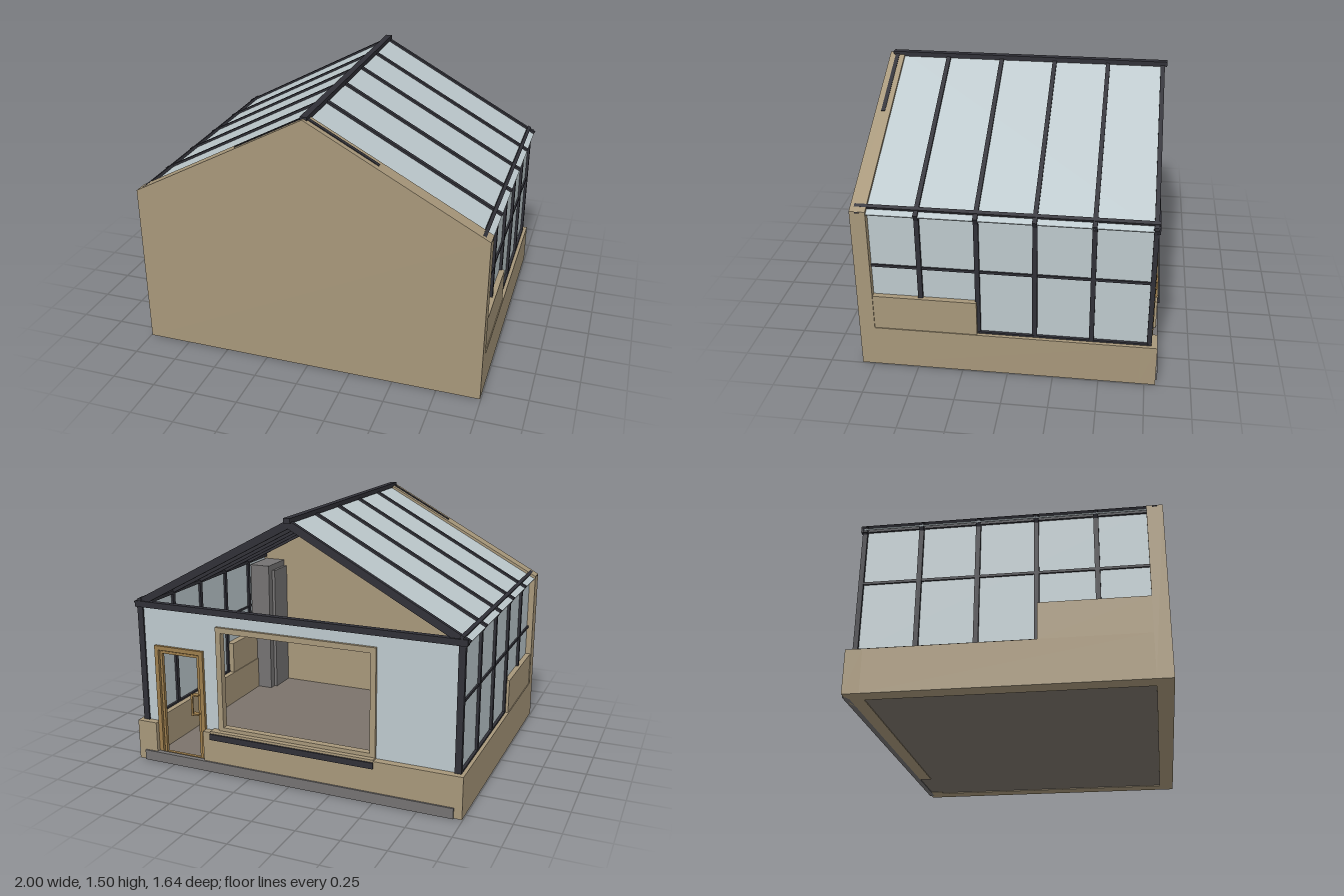
import * as THREE from 'three';

const mat = (name, color, side = THREE.FrontSide) => {
  const m = new THREE.MeshStandardMaterial({ color, side });
  m.name = name;
  return m;
};

export function createModel() {
  const root = new THREE.Group();
  root.name = 'greenhouse';
  const stone = mat('sandstone', 0xa7977a);
  const glass = mat('paleGlass', 0xbdc9cd);
  const iron = mat('darkFrame', 0x303037);
  const wood = mat('wood', 0x9c7d4c);
  const paving = mat('paving', 0x7b736b);
  const grey = mat('greyStone', 0x747272);

  // box given by its min and max corners
  const box = (name, m, x0, x1, y0, y1, z0, z1, parent = root) => {
    const g = new THREE.BoxGeometry(Math.abs(x1 - x0), y1 - y0, z1 - z0);
    const mesh = new THREE.Mesh(g, m);
    mesh.name = name;
    mesh.position.set((x0 + x1) / 2, (y0 + y1) / 2, (z0 + z1) / 2);
    parent.add(mesh);
    return mesh;
  };

  // solid gable wall at the front
  const gable = new THREE.Shape();
  [[-0.995, 0], [0.995, 0], [0.995, 0.962], [0, 1.497], [-0.995, 0.962]]
    .forEach(([x, y], i) => (i ? gable.lineTo(x, y) : gable.moveTo(x, y)));
  const front = new THREE.Mesh(
    new THREE.ExtrudeGeometry(gable, { depth: 0.085, bevelEnabled: false }), stone);
  front.name = 'frontGableWall';
  front.position.z = 0.735;
  root.add(front);

  // floor, doorstep strip and corner pillar
  box('floor', paving, -0.92, 0.92, 0.005, 0.03, -0.8, 0.735);
  box('backStep', grey, -0.95, 0.95, 0, 0.06, -0.82, -0.79);
  box('cornerPillar', grey, 0.8, 0.94, 0.03, 0.92, 0.5, 0.735);
  box('cornerPillarBase', grey, 0.78, 0.94, 0.03, 0.88, 0.55, 0.735);

  // roof slope: local x runs from ridge to eave, local y is the outward normal
  const angle = Math.atan(0.54);
  const len = 1 / Math.cos(angle);
  const frames = [-0.765, -0.455, -0.148, 0.16, 0.472];

  for (const s of [-1, 1]) {
    const side = new THREE.Group();
    side.name = s > 0 ? 'leftSide' : 'rightSide';
    root.add(side);
    const sbox = (name, m, x0, x1, ...r) => box(name, m, s * x0, s * x1, ...r, side);

    // low masonry wall with the taller stretch next to the gable
    sbox('sideBase', stone, 0.9, 0.995, 0, 0.24, -0.72, 0.735);
    sbox('raisedBase', stone, 0.905, 0.99, 0.24, 0.443, 0.165, 0.735);
    sbox('wallCap', iron, 0.935, 0.975, 0.24, 0.25, -0.77, 0.165);

    // glazing, posts and rails
    sbox('sideGlass', glass, 0.951, 0.959, 0.24, 0.955, -0.765, 0.735);
    frames.forEach((z) =>
      sbox('sidePost', iron, 0.938, 0.974, 0.24, 0.96, z - 0.013, z + 0.013));
    sbox('sideRail', iron, 0.943, 0.969, 0.619, 0.633, -0.765, 0.735);
    sbox('eaveBeam', iron, 0.935, 0.972, 0.935, 0.955, -0.78, 0.735);

    // roof slope
    const slope = new THREE.Group();
    slope.name = 'roofSlope';
    slope.position.set(0, 1.493, 0);
    slope.rotation.z = -s * angle;
    side.add(slope);
    const rbox = (name, m, x0, x1, ...r) => box(name, m, s * x0, s * x1, ...r, slope);
    rbox('roofGlass', glass, 0, len - 0.005, -0.018, -0.01, -0.765, 0.735);
    frames.forEach((z) => {
      rbox('rafter', iron, 0, len - 0.005, -0.04, 0.002, z - 0.012, z + 0.012);
    });
    rbox('eaveRail', iron, 1.075, 1.095, -0.012, 0.006, -0.785, 0.8);
    rbox('gableFlashing', iron, 0, 0.45, -0.01, 0.008, 0.765, 0.787);
    rbox('gableEaveTrim', iron, len - 0.02, len - 0.004, -0.02, 0.004, 0.765, 0.79);
  }

  // ridge beam
  box('ridgeBeam', iron, -0.019, 0.019, 1.478, 1.505, -0.79, 0.8);

  // back masonry with the door opening
  box('backBase', stone, -0.995, 0.55, 0, 0.24, -0.81, -0.72);
  box('backBaseCorner', stone, 0.87, 0.995, 0, 0.24, -0.81, -0.72);
  box('backBeam', iron, -0.985, 0.985, 0.93, 0.965, -0.785, -0.75);

  // back glazing panels around window and door
  [[-0.955, -0.5, 0.24], [-0.5, 0.46, 0.865], [0.46, 0.55, 0.24],
    [0.55, 0.87, 0.71], [0.87, 0.955, 0.24]]
    .forEach(([x0, x1, y0]) => box('backPanel', glass, x0, x1, y0, 0.935, -0.768, -0.76));

  // rectangular frame made of two jambs, a head and an optional bottom rail
  const frame = (name, m, x0, x1, y0, y1, w, z0, z1, bottom) => {
    const g = new THREE.Group();
    g.name = name;
    root.add(g);
    box('jamb', m, x0, x0 + w, y0, y1, z0, z1, g);
    box('jamb', m, x1 - w, x1, y0, y1, z0, z1, g);
    box('head', m, x0 + w, x1 - w, y1 - w, y1, z0, z1, g);
    if (bottom) box('bottomRail', m, x0 + w, x1 - w, y0, y0 + w, z0, z1, g);
  };
  frame('windowFrame', stone, -0.5, 0.46, 0.24, 0.865, 0.032, -0.785, -0.745, true);
  frame('doorFrame', wood, 0.55, 0.87, 0.03, 0.71, 0.025, -0.785, -0.745, false);
  frame('doorLeafFrame', wood, 0.58, 0.84, 0.04, 0.68, 0.015, -0.775, -0.755, true);
  box('windowSill', iron, -0.5, 0.5, 0.2, 0.235, -0.823, -0.805);
  box('windowLedge', stone, -0.5, 0.5, 0.236, 0.25, -0.815, -0.75);

  // door handle
  box('doorHandle', wood, 0.615, 0.627, 0.32, 0.455, -0.803, -0.795);
  [0.325, 0.44].forEach((y) =>
    box('handleStem', wood, 0.585, 0.627, y, y + 0.008, -0.8, -0.765));

  return root;
}
